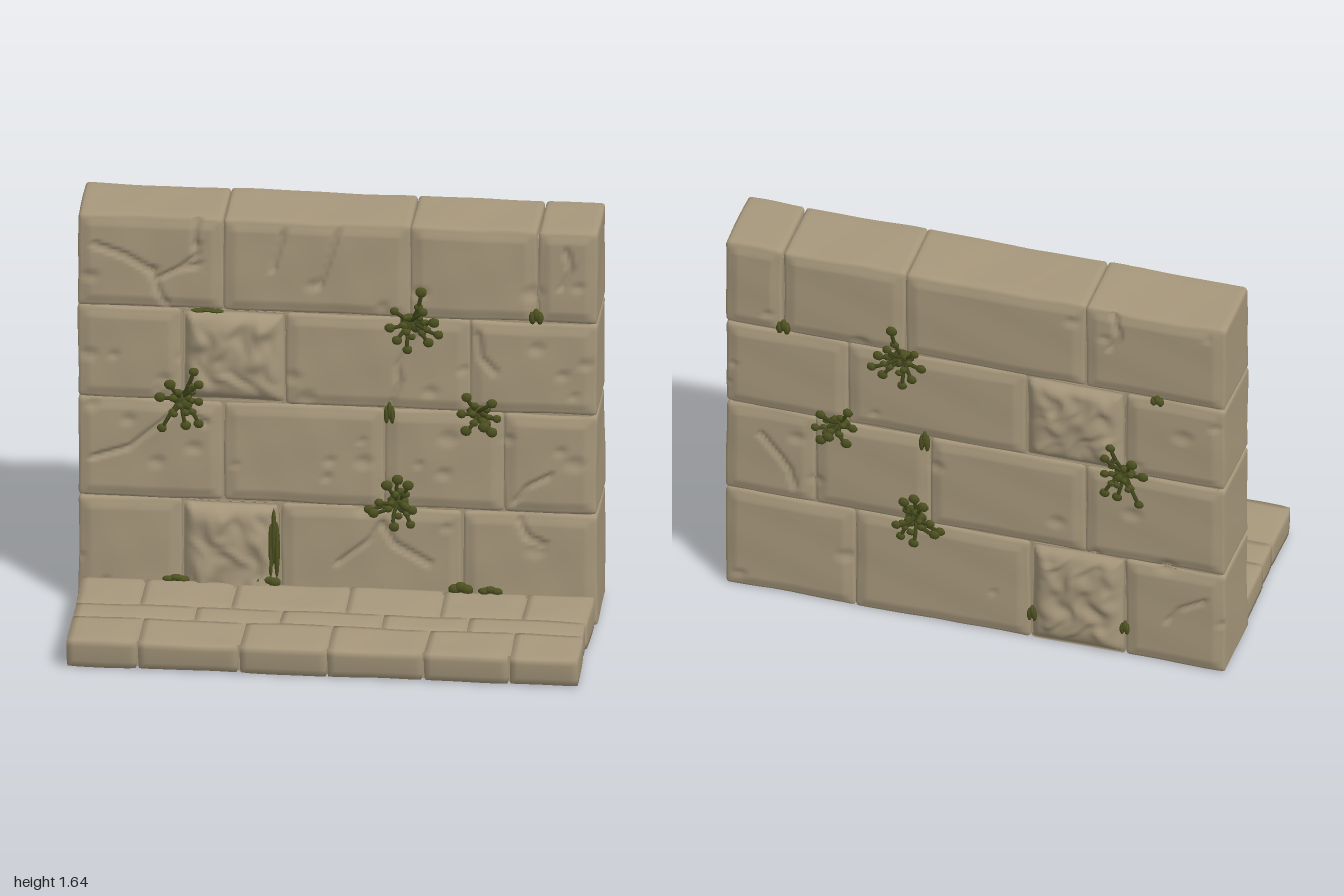
import * as THREE from 'three';
import { mergeVertices, mergeGeometries } from 'three/addons/utils/BufferGeometryUtils.js';

const mat = (name, color) => Object.assign(new THREE.MeshStandardMaterial({ color }), { name });
const BACK = -0.43, FRONT = -0.105;
const smooth = THREE.MathUtils.smoothstep;

function seeded(seed) {
  return () => {
    seed = (seed * 16807) % 2147483647;
    return seed / 2147483647;
  };
}

// Crack paths in x, y
const frontCracks = [
  [[-0.94, 1.51], [-0.82, 1.47], [-0.72, 1.41], [-0.7, 1.37], [-0.61, 1.42], [-0.53, 1.44]],
  [[-0.7, 1.37], [-0.69, 1.32], [-0.66, 1.27]],
  [[-0.61, 1.42], [-0.54, 1.48], [-0.55, 1.55], [-0.54, 1.63]],
  [[-0.21, 1.59], [-0.24, 1.48], [-0.25, 1.43]],
  [[0, 1.6], [-0.03, 1.5], [-0.07, 1.37]],
  [[0.86, 1.4], [0.9, 1.48], [0.88, 1.56]],
  [[0.3, 1.18], [0.23, 1.05], [0.24, 0.98], [0.2, 0.88]],
  [[0.54, 1.2], [0.55, 1.1], [0.61, 1.04]],
  [[-0.61, 0.84], [-0.71, 0.75], [-0.8, 0.67], [-0.95, 0.62]],
  [[-0.6, 0.85], [-0.54, 0.8], [-0.5, 0.78]],
  [[0.68, 0.5], [0.73, 0.57], [0.82, 0.62]],
  [[0, 0.22], [0.12, 0.32], [0.17, 0.4], [0.22, 0.31], [0.36, 0.23]],
  [[0.7, 0.43], [0.73, 0.36], [0.8, 0.33]],
];
const backCracks = [
  [[0.86, 0.75], [0.78, 0.66], [0.74, 0.6], [0.72, 0.52]],
  [[-0.92, 0.33], [-0.82, 0.27], [-0.77, 0.2]],
  [[-0.55, 1.63], [-0.58, 1.52], [-0.54, 1.46]],
];

// Shallow chips scattered over both faces
const rand = seeded(77);
const pits = Array.from({ length: 70 }, () =>
  ({ x: rand() * 2 - 1, y: rand() * 1.6, r: 0.02 + rand() * 0.03, side: rand() < 0.65 ? 1 : -1 }));

function crackDistance(x, y, paths) {
  let best = 1;
  for (const path of paths) for (let i = 1; i < path.length; i++) {
    const [ax, ay] = path[i - 1], dx = path[i][0] - ax, dy = path[i][1] - ay;
    const t = THREE.MathUtils.clamp(((x - ax) * dx + (y - ay) * dy) / (dx * dx + dy * dy), 0, 1);
    best = Math.min(best, Math.hypot(x - ax - dx * t, y - ay - dy * t));
  }
  return best;
}

const wave = (x, y, z) => Math.sin(x * 9 + y * 4 + z * 5) * 0.5 + Math.sin(y * 17 - x * 6 + z * 11 + 2) * 0.3
  + Math.sin(x * 21 + z * 13 + y * 9) * 0.2;

// Irregular lumps, taller than wide
function hewn(x, y, s) {
  const u = x + 0.035 * Math.sin(y * 19 + s) + 0.02 * Math.sin(y * 43 + x * 11);
  const v = y + 0.04 * Math.sin(x * 27 + s * 2) + 0.02 * Math.sin(x * 53 - y * 17);
  return Math.sin(u * 47 + v * 9) * 0.5 + Math.sin(v * 33 - u * 13 + s) * 0.5 + Math.sin(u * 71 + v * 58) * 0.25;
}

// Outward relief of a wall stone's front or back face
function relief(x, y, side, edge, rough) {
  if (rough) return (0.018 + 0.011 * hewn(x, y, side)) * smooth(edge, 0, 0.08) - 0.02 * (1 - smooth(edge, 0, 0.04));
  let d = 0.003 * wave(x * 1.5, y * 1.5, side) - 0.008 * (1 - smooth(edge, 0.024, 0.035));
  for (const p of pits) {
    if (p.side !== side) continue;
    const q = Math.hypot(x - p.x, (y - p.y) * 1.4) / p.r;
    if (q < 1) d -= 0.009 * (1 - q * q);
  }
  return d - 0.017 * (1 - smooth(crackDistance(x, y, side > 0 ? frontCracks : backCracks), 0.001, 0.014));
}

// A worn block: a fine box with rounded edges and a displaced surface
function stone([x0, x1], [y0, y1], [z0, z1], { step, radius, change }) {
  const size = [x1 - x0, y1 - y0, z1 - z0], mid = new THREE.Vector3(x0 + x1, y0 + y1, z0 + z1).multiplyScalar(0.5);
  const segs = size.map((s) => Math.max(3, Math.round(s / step)));
  if (change) segs[2] = 7;
  let geo = new THREE.BoxGeometry(...size, ...segs);
  geo.deleteAttribute('normal');
  geo.deleteAttribute('uv');
  geo = mergeVertices(geo);
  const pos = geo.attributes.position, half = new THREE.Vector3(...size).multiplyScalar(0.5);
  const limit = half.clone().subScalar(radius), v = new THREE.Vector3(), inner = new THREE.Vector3();
  for (let i = 0; i < pos.count; i++) {
    v.fromBufferAttribute(pos, i);
    const side = Math.sign(v.z), onFace = Math.abs(v.z) > half.z - 1e-4;
    const edge = Math.min(half.x - Math.abs(v.x), half.y - Math.abs(v.y));
    // Crowd the depth rings toward the faces
    if (change && !onFace) v.z = side * half.z * (1 - Math.pow(1 - Math.abs(v.z) / half.z, 1.8));
    inner.copy(v).clamp(limit.clone().negate(), limit);
    v.sub(inner).setLength(v.length() > 1e-6 ? radius : 0).add(inner);
    const x = v.x + mid.x, y = v.y + mid.y, z = v.z + mid.z;
    const w = 0.004 * wave(x, y, z) - 0.002;
    v.x += w * v.x / half.x;
    v.y += w * v.y / half.y;
    if (change && onFace) v.z += side * change(x, y, side, edge);
    v.add(mid);
    pos.setXYZ(i, v.x, Math.max(0, v.y), v.z);
  }
  geo.computeVertexNormals();
  return geo;
}

const blob = (x, y, z, rx, ry, rz) => new THREE.SphereGeometry(1, 7, 5).scale(rx, ry, rz).translate(x, y, z);

// Moss tufts: centre, then leaf tips as offsets in hundredths
const tufts = [
  { at: [0.285, 1.245], tips: [[4, 13], [-6, 6], [5, 6], [-5, -6], [7, -7], [11, -3], [9, 1], [-1, -10], [-8, -2]] },
  { at: [-0.6, 0.885], tips: [[5, 12], [7, 7], [7, 0], [-4, 7], [-8, 1], [-3, -5], [-7, -11], [2, -10], [7, -9]] },
  { at: [0.54, 0.875], tips: [[-4, 7], [6, 6], [8, 0], [-6, 0], [3, -4], [-4, -6], [6, -6]] },
  { at: [0.235, 0.49], tips: [[0, 10], [4, 8], [-4, 8], [-9, -3], [5, -8], [-1, -8], [6, -1], [-7, 1], [-11, -2]] },
];

// Small clumps: x, y, half width, half height
const sharedClumps = [[0.765, 1.285, 0.026, 0.032], [0.2, 0.86, 0.02, 0.045]];
const frontClumps = [...sharedClumps, [-0.245, 0.3, 0.022, 0.14], [-0.5, 1.254, 0.06, 0.008],
  [-0.27, 0.137, 0.05, 0.024], [-0.62, 0.132, 0.05, 0.016], [0.475, 0.138, 0.045, 0.026], [0.59, 0.134, 0.045, 0.018]];
const backClumps = [...sharedClumps, [-0.23, 0.13, 0.018, 0.035], [-0.6, 0.14, 0.018, 0.03], [-0.73, 1.255, 0.025, 0.022]];

export function createModel() {
  const model = new THREE.Group();
  const stoneMat = mat('sandstone', 0xa7987c);
  const leafMat = mat('moss leaf', 0x4d5120);
  const stemMat = mat('moss stem', 0x40451b);
  const add = (name, geo, material, parent = model) => {
    const mesh = new THREE.Mesh(geo, material);
    mesh.name = name;
    parent.add(mesh);
  };
  const addGroup = (name) => {
    const group = new THREE.Group();
    group.name = name;
    model.add(group);
    return group;
  };

  // Wall courses: heights, joints, and which stone is rough hewn
  const wall = addGroup('wall');
  const courses = [
    { y: [0, 0.458], x: [-1, -0.6, -0.22, 0.48, 1], rough: 1 },
    { y: [0.458, 0.87], x: [-1, -0.44, 0.18, 0.64, 1], rough: -1 },
    { y: [0.87, 1.252], x: [-1, -0.6, -0.2, 0.51, 1], rough: 1 },
    { y: [1.252, 1.635], x: [-1, -0.44, 0.28, 0.77, 1], rough: -1 },
  ];
  for (const { y, x, rough } of courses) {
    for (let i = 0; i < 4; i++) {
      const change = (px, py, side, edge) => relief(px, py, side, edge, i === rough);
      add(i === rough ? 'roughStone' : 'wallStone',
        stone([x[i], x[i + 1]], y, [BACK, FRONT], { step: 0.0138, radius: 0.014, change }), stoneMat, wall);
    }
  }
  add('wallCore', new THREE.BoxGeometry(1.95, 1.58, 0.285).translate(0, 0.81, (BACK + FRONT) / 2), stoneMat, wall);

  // Paving in three strips; the outer edge leans in toward the ground
  const paving = addGroup('paving');
  const strips = [
    { z: [-0.12, 0.135], x: [-0.99, -0.74, -0.39, 0.05, 0.41, 0.73, 0.99] },
    { z: [0.135, 0.265], x: [-0.985, -0.52, -0.19, 0.2, 0.53, 0.985] },
    { z: [0.265, 0.51], x: [-0.985, -0.71, -0.32, 0.02, 0.39, 0.72, 0.99] },
  ];
  for (const { z, x } of strips) {
    for (let i = 0; i + 1 < x.length; i++) {
      const geo = stone([x[i], x[i + 1]], [0, 0.125], z, { step: 0.03, radius: 0.011 });
      const pos = geo.attributes.position;
      for (let k = 0; k < pos.count; k++) {
        if (pos.getZ(k) > 0.46) pos.setZ(k, pos.getZ(k) - 0.02 * (1 - pos.getY(k) / 0.125));
      }
      geo.computeVertexNormals();
      add('pavingStone', geo, stoneMat, paving);
    }
  }
  add('pavingBed', new THREE.BoxGeometry(1.94, 0.106, 0.56).translate(0, 0.06, 0.19), stoneMat, paving);

  // Moss on both faces: curved stems ending in round leaves, and low clumps in the joints
  for (const [side, z, clumps] of [[1, FRONT, frontClumps], [-1, BACK, backClumps]]) {
    tufts.forEach(({ at: [x, y], tips }, t) => {
      const r = seeded(311 + t * 97), stems = [];
      const leaves = [blob(x, y, z, 0.045, 0.03, 0.02), blob(x + 0.02, y - 0.02, z + side * 0.012, 0.026, 0.024, 0.014)];
      for (const [dx, dy] of tips) {
        const out = 0.025 + r() * 0.045;
        const point = (k, h) => new THREE.Vector3(x + dx * k * 0.01, y + dy * k * 0.01, z + side * h);
        const tip = point(1, out), bend = point(0.5, out * 1.1);
        bend.x += (r() - 0.5) * 0.04;
        stems.push(new THREE.TubeGeometry(new THREE.QuadraticBezierCurve3(point(0, 0), bend, tip), 5, 0.008, 5));
        const s = 0.018 + r() * 0.006;
        leaves.push(blob(tip.x, tip.y, tip.z, s, s * 0.9, 0.011));
        const m = point(0.5, out * 0.8);
        leaves.push(blob(m.x + 0.01, m.y, m.z, s * 0.8, s * 0.65, 0.01));
      }
      const tuft = addGroup(side > 0 ? 'frontMossTuft' : 'backMossTuft');
      add('stems', mergeGeometries(stems), stemMat, tuft);
      add('leaves', mergeGeometries(leaves), leafMat, tuft);
    });
    for (const [x, y, w, h] of clumps) {
      const parts = [-1, 0, 1].map((k) => blob(x + k * w * 0.55, y + (k ? -0.25 : 0.15) * h, z, w * 0.55, h * 0.85, 0.016));
      add('mossClump', mergeGeometries(parts), leafMat);
    }
  }
  return model;
}
